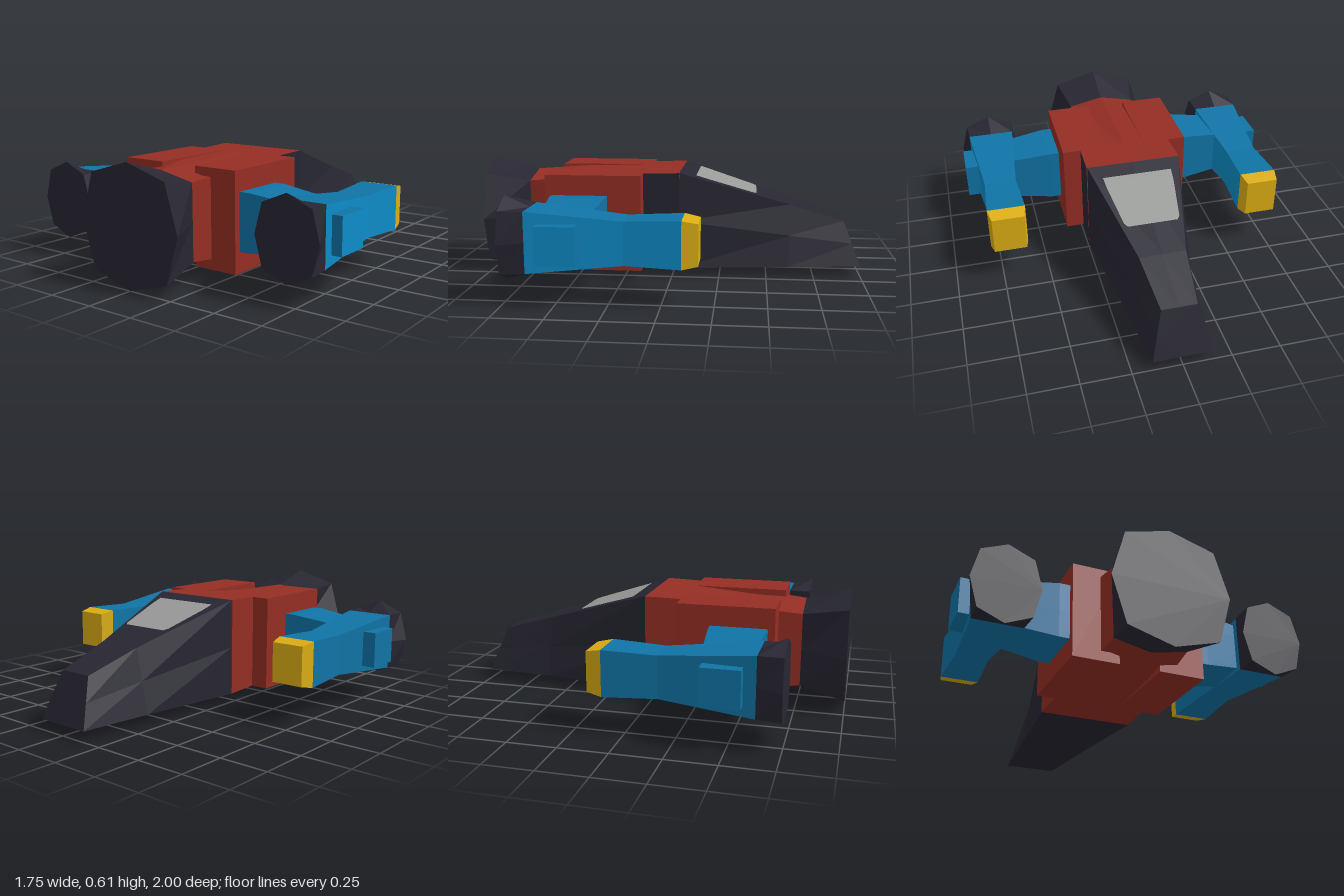
import * as THREE from 'three';

const paint = (name, color) => {
  const m = new THREE.MeshStandardMaterial({ color });
  m.name = name;
  return m;
};

// Eight-point ring, anticlockwise seen from +z; bottom and top edges may differ in width and z
const ring = (zb, xb, yb, zt = zb, xt = xb, yt = yb, ridge = 0) => {
  const xm = (xb + xt) / 2, ym = (yb + yt) / 2, zm = (zb + zt) / 2;
  return [
    [xm, ym, zm], [xt, yt, zt], [0, yt + ridge, zt], [-xt, yt, zt],
    [-xm, ym, zm], [-xb, yb, zb], [0, yb - ridge, zb], [xb, yb, zb],
  ];
};
const rect = (z, hx, y0, y1, ridge = 0) => ring(z, hx, y0, z, hx, y1, ridge);

// Octagonal nozzle mouth
const octagon = (z, cy, side, top, dx, dy) => [
  [side, cy, z], [dx, cy + dy, z], [0, cy + top, z], [-dx, cy + dy, z],
  [-side, cy, z], [-dx, cy - dy, z], [0, cy - top, z], [dx, cy - dy, z],
];

// Faceted skin through rings running towards +z; pick(segment, side) chooses a material slot
function loft(rings, pick = () => 0) {
  const pos = [], geo = new THREE.BufferGeometry();
  const tri = (a, b, c, slot) => {
    geo.addGroup(pos.length / 3, 3, slot);
    pos.push(...a, ...b, ...c);
  };
  for (let k = 0; k < rings.length - 1; k++) {
    for (let i = 0; i < 8; i++) {
      const j = (i + 1) % 8, r = rings[k], s = rings[k + 1], slot = pick(k, i);
      tri(r[i], r[j], s[i], slot);
      tri(r[j], s[j], s[i], slot);
    }
  }
  const first = rings[0], last = rings[rings.length - 1];
  for (let i = 1; i < 7; i++) {
    tri(last[0], last[i], last[i + 1], 0);
    tri(first[0], first[i + 1], first[i], 0);
  }
  geo.setAttribute('position', new THREE.Float32BufferAttribute(pos, 3));
  geo.computeVertexNormals();
  return geo;
}

export function createModel() {
  const red = paint('hull red', 0x952e24);
  const blue = paint('pod blue', 0x1074a6);
  const brightBlue = paint('bright blue', 0x0e8cc8);
  const dark = paint('dark metal', 0x272632);
  const yellow = paint('tip yellow', 0xdcae14);
  const grey = paint('window grey', 0x999b99);

  const model = new THREE.Group();
  model.name = 'spaceship';
  const add = (parent, name, geo, mat, x = 0, y = 0, z = 0) => {
    const m = new THREE.Mesh(geo, mat);
    m.name = name;
    m.position.set(x, y, z);
    parent.add(m);
    return m;
  };
  const onRight = (i) => i === 0 || i === 7;

  // Wedge-shaped nose
  add(model, 'nose', loft([
    ring(-1, 0.15, 0.055, -0.91, 0.09, 0.29),
    ring(-0.62, 0.19, 0.055, -0.62, 0.12, 0.38),
    ring(-0.04, 0.255, 0.05, -0.04, 0.25, 0.56),
  ]), [dark]);

  // Hull tapering to the rear, with one dark side panel at the front
  add(model, 'hull', loft([
    rect(-0.04, 0.255, 0.05, 0.56),
    rect(0.15, 0.25, 0.055, 0.555),
    rect(0.77, 0.19, 0.12, 0.5, 0.04),
  ], (k, i) => (k === 0 && onRight(i) ? 1 : 0)), [red, dark]);

  add(model, 'mainNozzle', loft([
    rect(0.77, 0.19, 0.12, 0.5, 0.04),
    octagon(1, 0.305, 0.3, 0.303, 0.23, 0.237),
  ]), [dark]);

  // Cockpit window, a thin plate on the sloping nose
  const w = new THREE.Shape();
  w.moveTo(-0.185, 0.125);
  w.lineTo(0.185, 0.125);
  w.lineTo(0.18, 0.19);
  w.lineTo(0.145, 0.42);
  w.lineTo(0.13, 0.442);
  w.lineTo(-0.13, 0.442);
  w.lineTo(-0.145, 0.42);
  w.lineTo(-0.18, 0.19);
  const windowGeo = new THREE.ShapeGeometry(w);
  const p = windowGeo.attributes.position;
  for (let i = 0; i < p.count; i++) {
    const z = -p.getY(i);
    p.setXYZ(i, p.getX(i), 0.566 + 0.3103 * (z + 0.04), z);
  }
  windowGeo.computeVertexNormals();
  add(model, 'window', windowGeo, grey);

  // Side blocks and engine pods
  for (const s of [-1, 1]) {
    const side = new THREE.Group();
    side.name = s > 0 ? 'leftSide' : 'rightSide';
    model.add(side);

    add(side, 'sideBlock', new THREE.BoxGeometry(0.24, 0.5, 0.5), red, s * 0.226, 0.305, 0.4);

    // Strut narrowing towards the pod
    const strut = loft([
      rect(0.3, 0.145, 0.16, 0.45),
      rect(0.4, 0.145, 0.16, 0.45),
      rect(0.65, 0.12, 0.19, 0.42),
    ]);
    strut.rotateY(s * Math.PI / 2);
    add(side, 'strut', strut, [blue], 0, 0, 0.47);

    const nubMats = [brightBlue, blue, blue, blue, blue, blue];
    add(side, 'sideNub', new THREE.BoxGeometry(0.12, 0.185, 0.19), nubMats, s * 0.813, 0.305, 0.475);

    add(side, 'pod', loft([
      rect(-0.1, 0.1, 0.19, 0.42),
      rect(0.17, 0.085, 0.2, 0.41),
      rect(0.63, 0.125, 0.16, 0.455),
    ], (k, i) => (onRight(i) ? 1 : 0)), [blue, brightBlue], s * 0.7);

    add(side, 'podTip', loft([
      rect(-0.177, 0.085, 0.205, 0.405),
      rect(-0.1, 0.1, 0.19, 0.42),
    ]), [yellow], s * 0.7);

    add(side, 'podNozzle', loft([
      rect(0.63, 0.125, 0.16, 0.455),
      octagon(0.75, 0.305, 0.17, 0.205, 0.13, 0.15),
    ]), [dark], s * 0.7);
  }
  return model;
}
